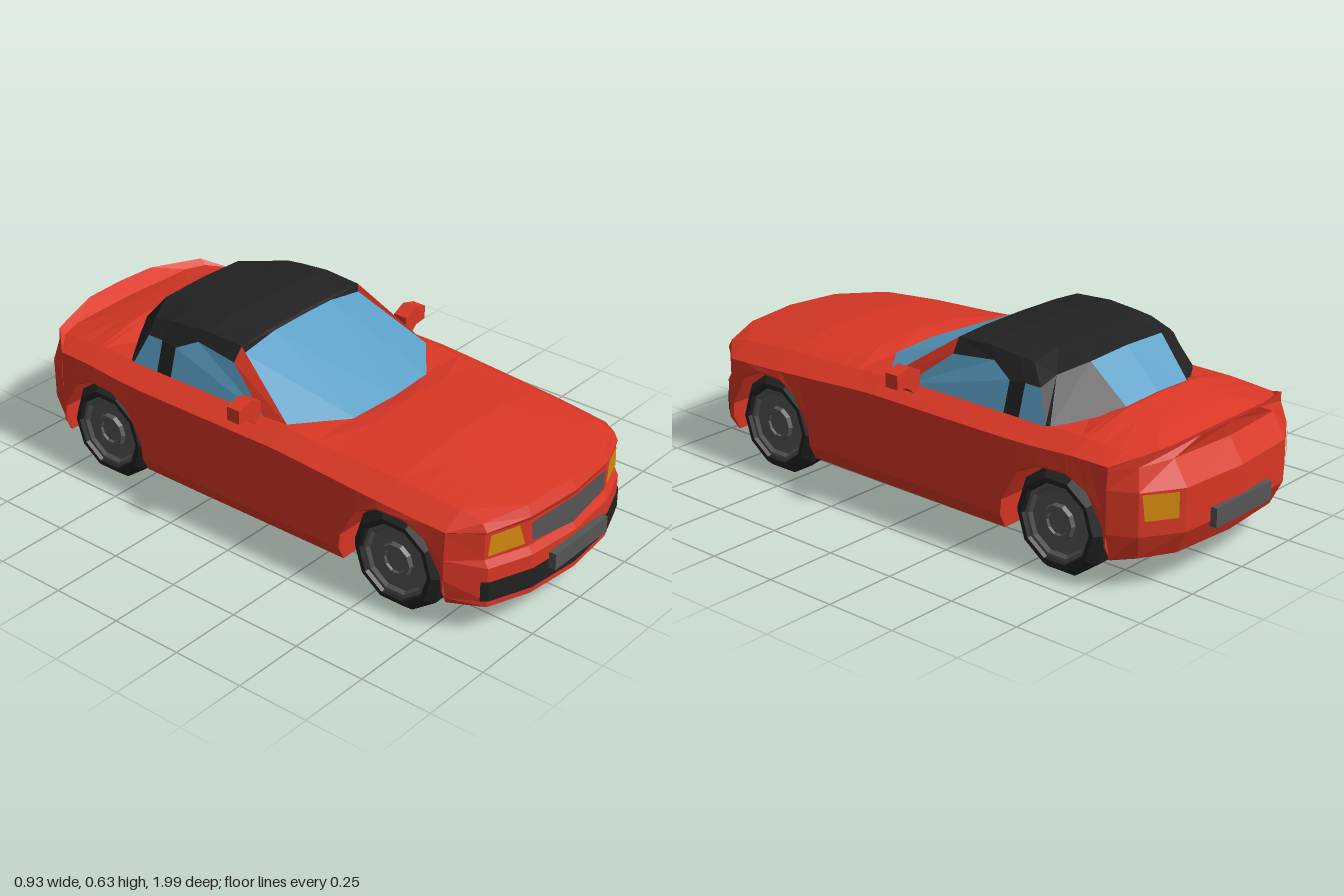
import * as THREE from 'three';

const mat = (name, color) => new THREE.MeshStandardMaterial({ name, color, side: THREE.DoubleSide });

// Piecewise linear lookup in an ascending table of [key, value]
function look(table, k) {
  if (k <= table[0][0]) return table[0][1];
  for (let i = 1; i < table.length; i++) {
    const [a, u] = table[i - 1], [b, v] = table[i];
    if (k <= b) return u + (v - u) * (k - a) / (b - a);
  }
  return table[table.length - 1][1];
}

// Faceted geometry from triangles of the left half, mirrored to the right
function mirrored(tris) {
  const pos = [];
  for (const t of tris) {
    pos.push(...t.flat());
    for (const p of [t[0], t[2], t[1]]) pos.push(-p[0], p[1], p[2]);
  }
  const g = new THREE.BufferGeometry();
  g.setAttribute('position', new THREE.Float32BufferAttribute(pos, 3));
  g.computeVertexNormals();
  return g;
}
// Skin over rows of points
function skin(rows) {
  const tris = [];
  for (let i = 0; i + 1 < rows.length; i++) {
    for (let j = 0; j + 1 < rows[i].length; j++) {
      const a = rows[i][j], b = rows[i][j + 1], c = rows[i + 1][j + 1], d = rows[i + 1][j];
      tris.push([a, b, c], [a, c, d]);
    }
  }
  return tris;
}
// Single convex face
const fan = pts => pts.slice(2).map((p, i) => [pts[0], pts[i + 1], p]);

// Body lines along z
const axles = [-0.61, 0.595];
const arch = axles.flatMap(c => [[-0.19, 0.1], [-0.185, 0.2], [-0.125, 0.305], [-0.05, 0.342],
  [0.05, 0.342], [0.125, 0.305], [0.185, 0.2], [0.19, 0.1]].map(([d, y]) => [c + d, y]));
const wide = [[-0.805, 0.42], [-0.6, 0.436], [-0.4, 0.445], [0.4, 0.44], [0.6, 0.437], [0.79, 0.425]];
const shoulderY = [[-0.805, 0.4], [-0.68, 0.405], [-0.5, 0.4], [0.15, 0.4], [0.79, 0.355]];
const centreY = [[-0.805, 0.455], [-0.68, 0.485], [-0.52, 0.44], [0.25, 0.437], [0.33, 0.456], [0.57, 0.456], [0.79, 0.428]];
const middleY = [[-0.805, 0.45], [-0.68, 0.478], [-0.52, 0.44], [0.25, 0.437], [0.33, 0.447], [0.57, 0.446], [0.79, 0.42]];
const edgeY = [[-0.805, 0.428], [-0.68, 0.44], [0.13, 0.44], [0.33, 0.427], [0.57, 0.418], [0.79, 0.4]];
const edgeX = [[-0.805, 0.35], [0.13, 0.365], [0.79, 0.345]];
const stations = [...arch.map(a => a[0]), -0.805, -0.68, -0.52, -0.2, 0.13, 0.25, 0.33, 0.57, 0.79].sort((a, b) => b - a);

// Curved plan and upright profile of the nose
const nosePlan = [[0, 0.965], [0.2, 0.945], [0.345, 0.89], [0.42, 0.79]];
const noseStep = [[0.1, 0.005], [0.235, 0.005], [0.26, -0.01], [0.35, -0.01]];
const noseZ = (x, y) => look(nosePlan, x) + look(noseStep, y);
const tailPlan = [[0, -0.988], [0.25, -0.968], [0.375, -0.89], [0.42, -0.805]];
// Bulged side of the cabin
const cabinX = [[0.43, 0.362], [0.5, 0.344], [0.55, 0.326], [0.61, 0.288]];
const onCabin = ([z, y]) => [look(cabinX, y), y, z];

function bodyGeometry() {
  const shoulder = z => [look(wide, z) - 0.005, look(shoulderY, z), z];
  const nose = [[0.1, 0.4], [0.12, 0.41], [0.19, 0.425], [0.235, 0.425], [0.26, 0.425], [0.35, 0.42]].map(([y, outer]) =>
    [...[0, 0.2, 0.345].map(x => [x, y, noseZ(x, y)]), [outer, y, 0.79]]);
  const top = stations.map(z => [[0, look(centreY, z), z], [0.18, look(middleY, z), z],
    [look(edgeX, z), look(edgeY, z), z], shoulder(z)]);
  const tail = [0.33, 0.19].map(y => [...[0, 0.25, 0.375].map(x => [x, y, look(tailPlan, x)]), [0.42, y, -0.805]]);
  const shell = [
    [[0, 0.1, 0.79], [0.2, 0.1, 0.79], [0.345, 0.1, 0.79], [0.4, 0.1, 0.79]],
    ...nose,
    [[0, 0.37, 0.962], [0.2, 0.366, 0.942], [0.345, 0.356, 0.886], shoulder(0.79)],
    [[0, 0.405, 0.945], [0.2, 0.4, 0.925], [0.345, 0.383, 0.87], shoulder(0.79)],
    ...top,
    [[0, 0.43, -0.885], [0.27, 0.426, -0.88], [0.345, 0.42, -0.86], shoulder(-0.805)],
    [[0, 0.46, -0.945], [0.15, 0.458, -0.94], [0.345, 0.438, -0.885], shoulder(-0.805)],
    [[0, 0.41, -0.938], [0.25, 0.41, -0.92], [0.36, 0.4, -0.875], [0.415, 0.39, -0.805]],
    ...tail,
    [[0, 0.11, -0.95], [0.24, 0.11, -0.93], [0.35, 0.11, -0.87], [0.4, 0.105, -0.805]],
    [[0, 0.1, -0.805], [0.24, 0.1, -0.805], [0.35, 0.1, -0.805], [0.395, 0.1, -0.805]],
  ];
  // Sides, wheel wells and floor
  const sides = stations.map(z => {
    const w = look(wide, z), a = look(arch, z) < 0.1001 ? 0.1 : look(arch, z);
    const inArch = axles.some(c => Math.abs(z - c) < 0.1899);
    const y = inArch ? a : 0.1;
    return [shoulder(z), [w, Math.max(0.25, y + 0.008), z], [w, Math.max(0.15, y + 0.004), z],
      [inArch ? w - 0.004 : w - 0.025, y, z], [0.28, y, z], [0.28, 0.1, z], [0, 0.1, z]];
  });
  return mirrored([...skin(shell), ...skin(sides)]);
}

export function createModel() {
  const car = new THREE.Group();
  car.name = 'convertibleCar';
  const red = mat('redPaint', 0xd93725), black = mat('blackFabricAndRubber', 0x222222);
  const blue = mat('blueGlass', 0x5a9fc6), grey = mat('greyMetal', 0x555555), amber = mat('amberLamp', 0xd48a0e);
  const add = (name, geometry, material) => {
    const m = new THREE.Mesh(geometry, material);
    m.name = name;
    car.add(m);
    return m;
  };

  add('body', bodyGeometry(), red);

  // Nose details
  const onNose = ([x, y]) => [x, y, noseZ(x, y) + 0.005];
  add('grille', mirrored(fan([[0, 0.259], [0.187, 0.276], [0.197, 0.342], [0, 0.35]].map(onNose))), grey);
  add('headlights', mirrored(fan([[0.216, 0.276], [0.338, 0.273], [0.33, 0.343], [0.236, 0.347]].map(onNose))), amber);
  add('bumperStripe', mirrored(skin([0.122, 0.19].map(y => [0, 0.2, 0.345, 0.36].map(x => onNose([x, y]))))), black);
  add('frontPlate', new THREE.BoxGeometry(0.276, 0.056, 0.025).translate(0, 0.195, 0.982), grey);

  // Tail details
  const onTail = ([x, y]) => [x, y, look(tailPlan, x) - 0.005];
  add('tailLights', mirrored(fan([[0.272, 0.24], [0.272, 0.322], [0.37, 0.325], [0.362, 0.24]].map(onTail))), amber);
  add('rearPlate', new THREE.BoxGeometry(0.28, 0.062, 0.025).translate(0, 0.205, -0.987), grey);

  // Windscreen and its red pillars
  const screenTop = [[0, 0.605, -0.11], [0.14, 0.603, -0.11], [0.282, 0.58, -0.11]];
  const screenBase = [[0, 0.436, 0.28], [0.18, 0.436, 0.26], [0.352, 0.436, 0.13]];
  add('windscreen', mirrored(skin([screenBase, screenTop])), blue);
  const roofEdge = [[0.287, 0.605, -0.115], [0.29, 0.612, -0.25], [0.29, 0.602, -0.36], [0.288, 0.595, -0.42], [0.28, 0.572, -0.5]];
  const pillarFoot = onCabin([0.04, 0.435]), pillarHead = onCabin([-0.12, 0.56]);
  add('windscreenPillars', mirrored(fan([screenBase[2], pillarFoot, pillarHead, roofEdge[0], screenTop[2]])), red);

  // Soft top: roof, side rails, door pillars and rear corners
  const spine = [[0.616, 0.613, -0.115], [0.63, 0.628, -0.25], [0.621, 0.618, -0.36], [0.616, 0.612, -0.42], [0.603, 0.597, -0.545]];
  const roof = [screenTop, ...spine.map(([a, b, z], i) => [[0, a, z], [0.175, b, z], roofEdge[i]])];
  const rearFoot = [0.357, 0.435, -0.54], windowFoot = [0.15, 0.468, -0.672];
  const rail = [[-0.12, 0.56], [-0.28, 0.575], [-0.36, 0.535], [-0.42, 0.54], [-0.48, 0.54], [-0.525, 0.435]].map(onCabin);
  add('softTop', mirrored([
    ...skin(roof),
    ...skin([[...roofEdge, rearFoot], rail]),
    ...fan([[-0.36, 0.435], [-0.42, 0.435], [-0.42, 0.54], [-0.36, 0.535]].map(onCabin)),
    ...fan([[0.175, 0.597, -0.545], roofEdge[4], rearFoot, windowFoot]),
  ]), black);
  add('rearWindow', mirrored(skin([[[0, 0.603, -0.545], [0.175, 0.597, -0.545]], [[0, 0.475, -0.672], windowFoot]])), blue);
  add('doorWindows', mirrored(fan([[0.04, 0.435], [-0.36, 0.435], [-0.36, 0.535], [-0.28, 0.575], [-0.12, 0.56]].map(onCabin))), blue);
  add('quarterWindows', mirrored(fan([[-0.42, 0.435], [-0.525, 0.435], [-0.48, 0.54], [-0.42, 0.54]].map(onCabin))), blue);

  // Door mirrors
  const outline = [[0.363, 0.495], [0.41, 0.517], [0.465, 0.502], [0.465, 0.455], [0.42, 0.45], [0.385, 0.42], [0.363, 0.455]];
  for (const side of [1, -1]) {
    const shape = new THREE.Shape(outline.map(([x, y]) => new THREE.Vector2(side * x, y)));
    add(side > 0 ? 'leftMirror' : 'rightMirror',
      new THREE.ExtrudeGeometry(shape, { depth: 0.05, bevelEnabled: false }).translate(0, 0, -0.02), red);
  }

  // Wheels: ten-sided tyres with stepped rims
  const turned = profile => {
    const g = new THREE.LatheGeometry(profile.map(p => new THREE.Vector2(...p)), 10).toNonIndexed();
    g.computeVertexNormals();
    return g;
  };
  const tyre = turned([[0, 0], [0.173, 0], [0.173, 0.08], [0.145, 0.113], [0.13, 0.113], [0.124, 0.09]]);
  const rim = turned([[0.126, 0.1], [0.115, 0.1], [0.105, 0.09], [0.06, 0.088], [0.055, 0.102], [0.042, 0.102], [0.038, 0.095], [0, 0.095]]);
  for (const z of axles) {
    for (const side of [1, -1]) {
      const wheel = new THREE.Group();
      wheel.name = (z > 0 ? 'front' : 'rear') + (side > 0 ? 'Left' : 'Right') + 'Wheel';
      for (const [name, g, m] of [['tyre', tyre, black], ['rim', rim, grey]]) {
        const part = new THREE.Mesh(g, m);
        part.name = name;
        wheel.add(part);
      }
      wheel.rotation.z = -side * Math.PI / 2;
      wheel.position.set(side * 0.302, 0.165, z);
      car.add(wheel);
    }
  }
  return car;
}
